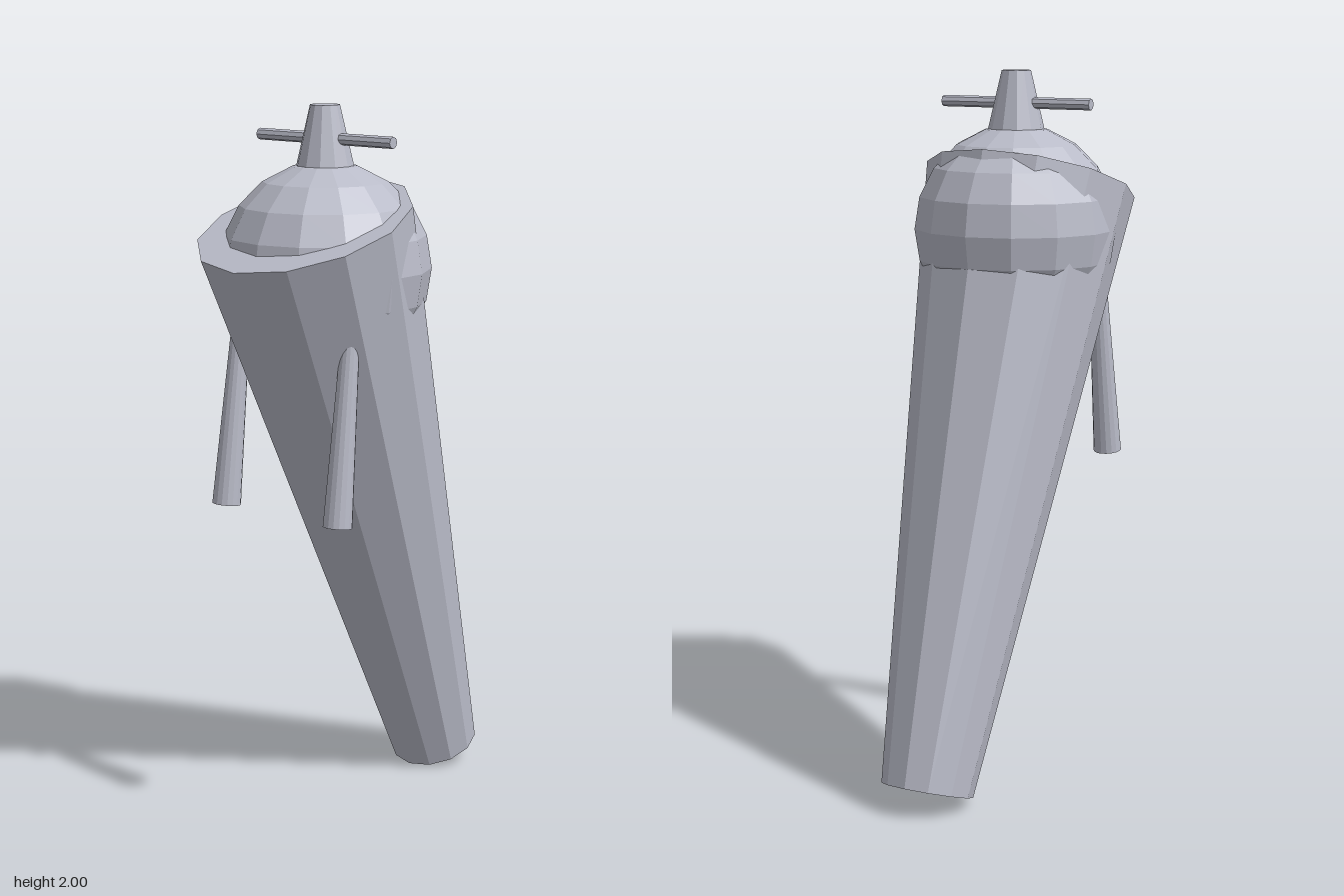
import * as THREE from 'three';

export function createModel() {
  const model = new THREE.Group();
  const grey = new THREE.MeshStandardMaterial({ color: 0xb9bbc8, flatShading: true });
  grey.name = 'pale grey';

  const add = (name, geometry, x, y, z) => {
    const mesh = new THREE.Mesh(geometry, grey);
    mesh.name = name;
    mesh.position.set(x, y, z);
    model.add(mesh);
    return mesh;
  };

  // Tapered twelve-sided body, leaning forward
  const body = add('body', new THREE.CylinderGeometry(0.301, 0.129, 1.75, 12), 0, 0.867, -0.083);
  body.rotation.x = THREE.MathUtils.degToRad(20);

  // Faceted head, turned so that a seam faces the front
  const head = add('head', new THREE.SphereGeometry(0.29, 14, 10), 0, 1.56, 0.127);
  head.rotation.y = Math.PI / 2;

  // Tapered neck on top of the head, with a crossbar through it
  add('neck', new THREE.CylinderGeometry(0.041, 0.081, 0.17, 12), 0, 1.915, 0.127);
  const bar = add('crossbar', new THREE.CylinderGeometry(0.016, 0.016, 0.468, 8), 0, 1.91, 0.127);
  bar.rotation.z = Math.PI / 2;

  // Pair of hanging arms, narrowing upwards into the body
  for (const side of [1, -1]) {
    const arm = add(side > 0 ? 'leftArm' : 'rightArm',
      new THREE.CylinderGeometry(0.024, 0.04, 0.54, 16), side * 0.198, 1.168, 0.287);
    arm.rotation.x = -0.122;
    arm.rotation.z = side * 0.012;
  }

  return model;
}
